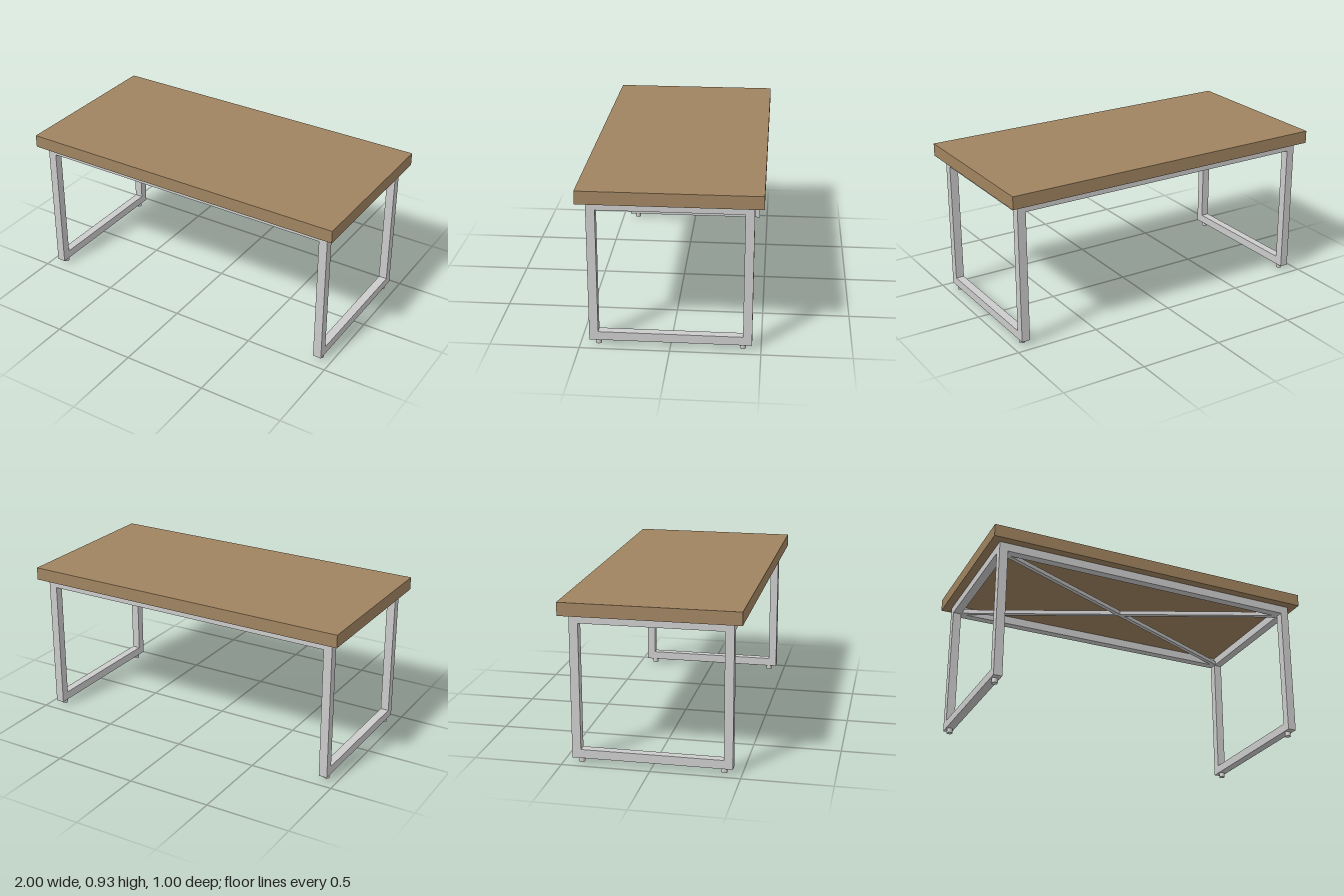
import * as THREE from 'three';

export function createModel() {
  const model = new THREE.Group();
  model.name = 'table';
  const wood = new THREE.MeshStandardMaterial({ color: 0xa08460 });
  const steel = new THREE.MeshStandardMaterial({ color: 0xcccccc });

  const add = (name, geometry, material, x, y, z) => {
    const mesh = new THREE.Mesh(geometry, material);
    mesh.name = name;
    mesh.position.set(x, y, z);
    model.add(mesh);
    return mesh;
  };
  const bar = (name, w, h, d, x, y, z, material = steel) =>
    add(name, new THREE.BoxGeometry(w, h, d), material, x, y, z);

  const tube = 0.05;            // square tube width
  const legX = 0.925, legZ = 0.425;
  const footTop = 0.027, frameTop = 0.851;

  // Wooden slab
  bar('tableTop', 2, 0.075, 1, 0, frameTop + 0.0375, 0, wood);

  // Legs with round levelling feet under the side frames
  for (const sx of [-1, 1]) {
    for (const sz of [-1, 1]) {
      bar('leg', tube, frameTop - footTop, tube, sx * legX, (frameTop + footTop) / 2, sz * legZ);
      add('foot', new THREE.CylinderGeometry(0.017, 0.017, footTop, 24), steel, sx * legX, footTop / 2, sz * 0.4);
    }
    bar('topSideRail', tube, tube, 0.8, sx * legX, frameTop - tube / 2, 0);
    bar('bottomSideRail', tube, tube, 0.8, sx * legX, footTop + tube / 2, 0);
  }

  // Long rails at front and back
  for (const sz of [-1, 1]) {
    bar('longRail', 1.8, tube, tube, 0, frameTop - tube / 2, sz * legZ);
  }

  // Crossed diagonal braces under the slab, corner to corner
  for (const s of [-1, 1]) {
    const brace = bar('diagonalBrace', Math.hypot(1.8, 0.8), 0.025, 0.025, 0, frameTop - tube + 0.0125, 0);
    brace.rotation.y = s * Math.atan2(0.8, 1.8);
  }

  return model;
}
